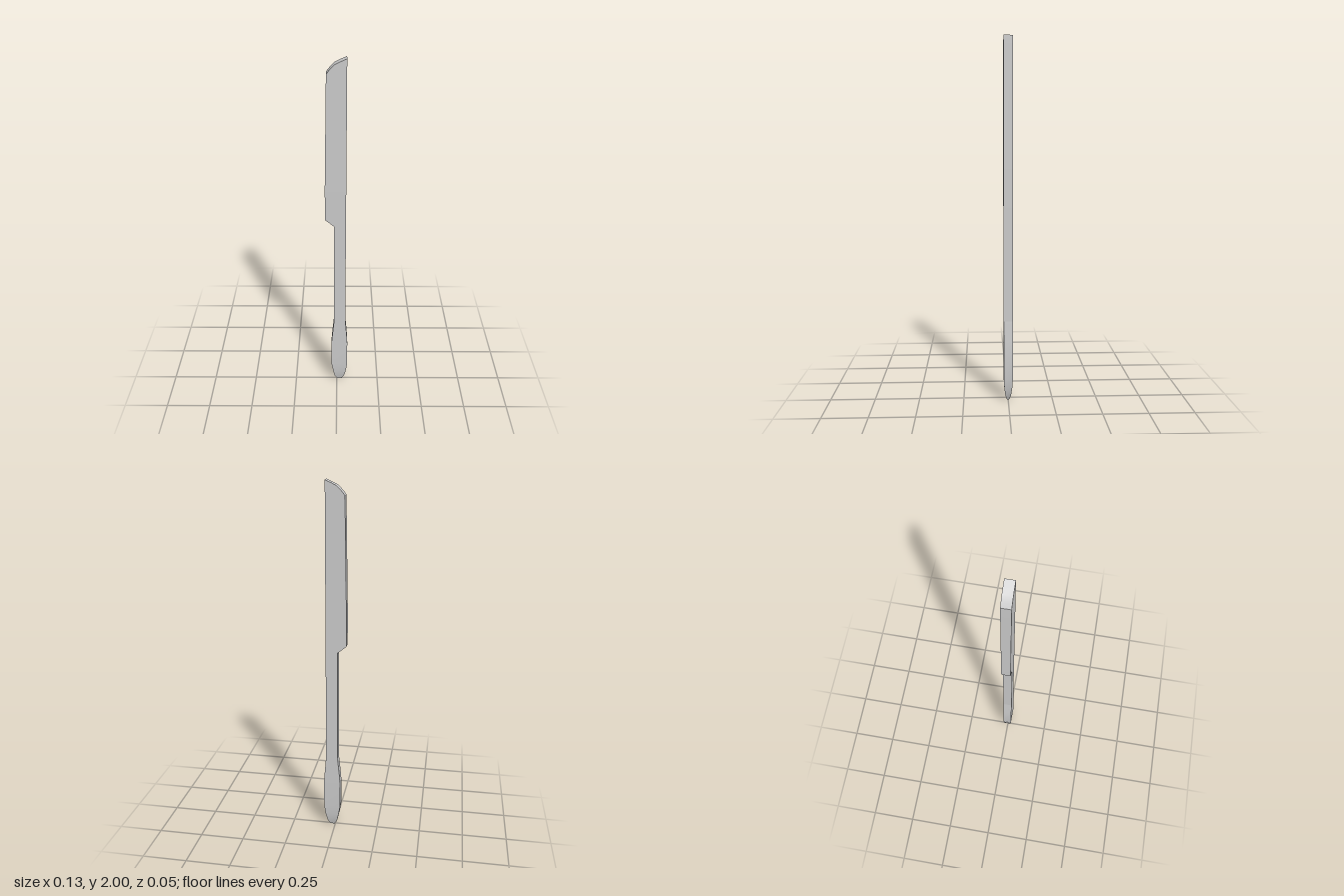
import * as THREE from 'three';
import { toCreasedNormals } from 'three/addons/utils/BufferGeometryUtils.js';

const T = 0.025; // half thickness

// Loft of rectangular sections; each row is [leftX, leftY, rightX, rightY, halfDepth], bottom to top.
function loft(rows) {
  const pos = [], idx = [];
  for (const [xl, yl, xr, yr, h = T] of rows) {
    pos.push(xl, yl, h, xr, yr, h, xr, yr, -h, xl, yl, -h);
  }
  for (let i = 0; i < rows.length - 1; i++) {
    for (let j = 0; j < 4; j++) {
      const a = i * 4 + j, b = i * 4 + (j + 1) % 4;
      idx.push(a, b, b + 4, a, b + 4, a + 4);
    }
  }
  const t = (rows.length - 1) * 4;
  idx.push(0, 2, 1, 0, 3, 2, t, t + 1, t + 2, t, t + 2, t + 3);
  const geo = new THREE.BufferGeometry();
  geo.setAttribute('position', new THREE.Float32BufferAttribute(pos, 3));
  geo.setIndex(idx);
  return toCreasedNormals(geo, Math.PI / 7);
}

export function createModel() {
  const group = new THREE.Group();
  const material = new THREE.MeshStandardMaterial({ color: 0xcccccc });
  const add = (name, rows) => {
    const mesh = new THREE.Mesh(loft(rows), material);
    mesh.name = name;
    group.add(mesh);
  };

  // Swollen grip, tapering in width and thickness to a blunt butt
  add('handle', [
    [0.004, 0, 0.029, 0, 0.007],
    [-0.012, 0.03, 0.045, 0.03, 0.016],
    [-0.022, 0.075, 0.055, 0.075, 0.022],
    [-0.031, 0.13, 0.063, 0.13],
    [-0.031, 0.29, 0.063, 0.29],
    [-0.026, 0.35, 0.059, 0.35],
    [-0.015, 0.46, 0.05, 0.46],
  ]);

  // Straight neck
  add('shaft', [
    [-0.015, 0.46, 0.05, 0.46],
    [-0.015, 1.09, 0.05, 1.09],
  ]);

  // Blade with an angled heel, a slightly narrowing edge and a curved tip
  add('blade', [
    [-0.015, 1.09, 0.05, 1.09],
    [-0.063, 1.13, 0.05, 1.13],
    [-0.063, 1.3, 0.05, 1.3],
    [-0.052, 1.925, 0.05, 1.96],
    [-0.035, 1.947, 0.05, 1.975],
    [-0.01, 1.972, 0.05, 1.985],
    [0.02, 1.987, 0.05, 1.995],
    [0.049, 1.9995, 0.05, 2],
  ]);

  return group;
}
